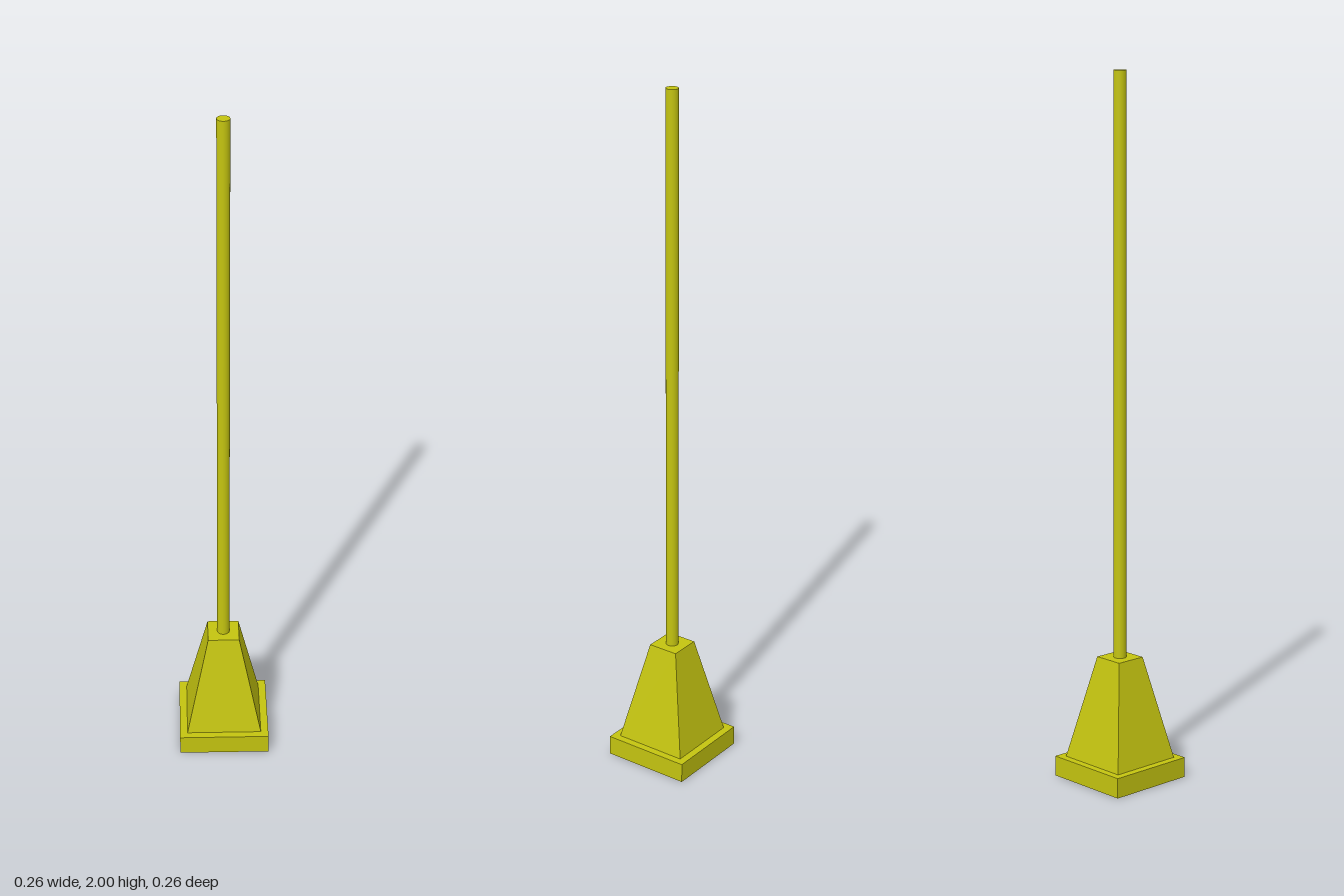
import * as THREE from 'three';

export function createModel() {
  const group = new THREE.Group();
  const paint = { color: 0xc4c410 };
  const flat = new THREE.MeshStandardMaterial({ ...paint, flatShading: true });
  const smooth = new THREE.MeshStandardMaterial(paint);

  const add = (name, geometry, material, y) => {
    const mesh = new THREE.Mesh(geometry, material);
    mesh.name = name;
    mesh.position.y = y;
    group.add(mesh);
  };

  const plinthTop = 0.058, footTop = 0.355, poleTop = 2;

  // Square plinth
  add('plinth', new THREE.BoxGeometry(0.262, plinthTop, 0.262), flat, plinthTop / 2);

  // Tapered square foot: four-sided frustum turned so its faces meet the axes
  const footHeight = footTop - plinthTop;
  const foot = new THREE.CylinderGeometry(0.0455 * Math.SQRT2, 0.109 * Math.SQRT2, footHeight, 4);
  foot.rotateY(Math.PI / 4);
  add('taperedFoot', foot, flat, plinthTop + footHeight / 2);

  // Slim round pole
  const poleHeight = poleTop - footTop;
  add('pole', new THREE.CylinderGeometry(0.018, 0.018, poleHeight, 24), smooth, footTop + poleHeight / 2);

  return group;
}
